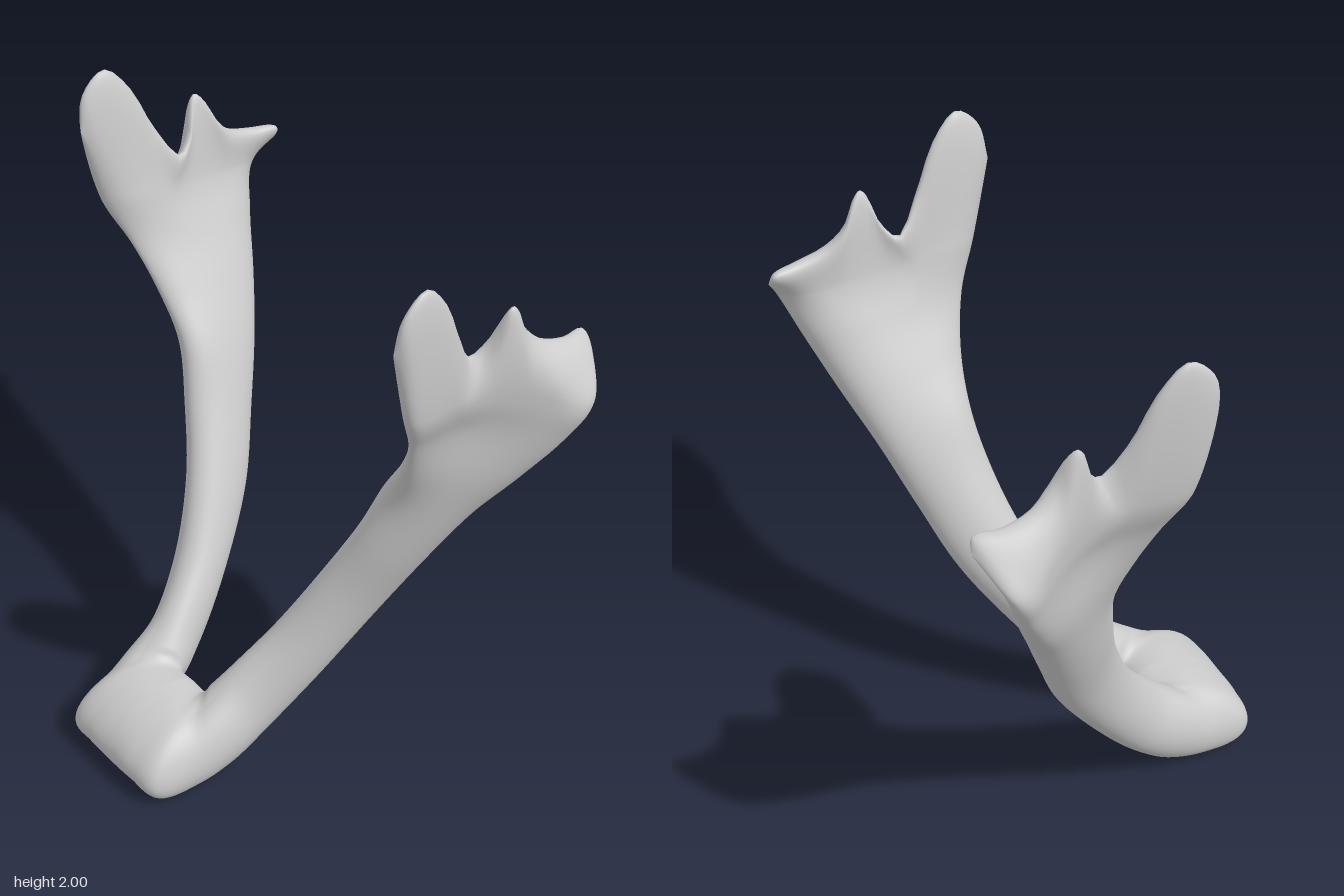
import * as THREE from 'three';

const V = (p) => new THREE.Vector3(...p);

// Skin a list of closed rings with smooth normals
function loft(rings, flip) {
  const n = rings[0].length, pos = [], idx = [];
  rings.forEach((ring) => ring.forEach((p) => pos.push(p.x, p.y, p.z)));
  for (let i = 0; i < rings.length - 1; i++) {
    for (let j = 0; j < n; j++) {
      const a = i * n + j, b = i * n + (j + 1) % n, c = a + n, d = b + n;
      if (flip) idx.push(a, c, b, b, c, d);
      else idx.push(a, b, c, b, d, c);
    }
  }
  const g = new THREE.BufferGeometry();
  g.setAttribute('position', new THREE.Float32BufferAttribute(pos, 3));
  g.setIndex(idx);
  g.computeVertexNormals();
  return g;
}

// Chin stations, fanning from the midline round the corner: top, bottom, outer, inner
const CHIN = [
  [[0, 0.25, 0.43], [0, 0.005, 0.47], [0, 0.1, 0.615], [0, 0.16, 0.27]],
  [[0.08, 0.25, 0.43], [0.09, 0.025, 0.47], [0.11, 0.1, 0.615], [0.055, 0.16, 0.27]],
  [[0.14, 0.245, 0.43], [0.175, 0.01, 0.47], [0.215, 0.095, 0.592], [0.075, 0.17, 0.272]],
  [[0.16, 0.25, 0.385], [0.19, 0.015, 0.38], [0.25, 0.11, 0.46], [0.083, 0.19, 0.265]],
  [[0.17, 0.275, 0.345], [0.195, 0.045, 0.275], [0.268, 0.15, 0.35], [0.09, 0.215, 0.245]],
];

// Branch stations: front edge, back edge, half thickness at front, middle and back, bow
const BRANCH = [
  [[0.19, 0.35, 0.26], [0.21, 0.15, 0.15], 0.09, 0.09, 0.09, 0],
  [[0.25, 0.50, 0.135], [0.27, 0.33, 0.0], 0.085, 0.088, 0.09, 0],
  [[0.34, 0.72, 0.03], [0.36, 0.58, -0.17], 0.08, 0.085, 0.09, 0],
  [[0.43, 0.92, -0.03], [0.46, 0.80, -0.27], 0.08, 0.088, 0.095, 0],
  [[0.50, 1.10, -0.06], [0.56, 1.00, -0.355], 0.08, 0.085, 0.115, 0],
  [[0.595, 1.25, -0.045], [0.675, 1.16, -0.43], 0.07, 0.07, 0.135, -0.03],
  [[0.68, 1.41, 0.0], [0.785, 1.32, -0.50], 0.06, 0.04, 0.14, -0.065],
  [[0.73, 1.56, 0.065], [0.835, 1.45, -0.555], 0.11, 0.03, 0.145, -0.065],
];

// Upper rim: tall front blade, notch, small spike and rear corner
const RIM = new THREE.CatmullRomCurve3([
  [0.75, 1.82, 0.13], [0.765, 1.94, 0.105], [0.765, 2.0, 0.03], [0.755, 1.92, -0.05],
  [0.735, 1.77, -0.12], [0.70, 1.65, -0.20], [0.72, 1.70, -0.25], [0.75, 1.79, -0.28],
  [0.755, 1.81, -0.30], [0.75, 1.785, -0.325], [0.74, 1.71, -0.36], [0.755, 1.645, -0.42],
  [0.76, 1.61, -0.52], [0.74, 1.60, -0.60], [0.75, 1.56, -0.615],
].map(V));

const OUTWARD = V([0.92, -0.33, 0.2]).normalize();

// Point on the mid-surface and offset to the skin, at one angle of a station
function chinPoint([top, bottom, outer, inner], t, s) {
  const centre = V(top).lerp(V(bottom), 0.5);
  return {
    mid: V(top).lerp(V(bottom), t),
    offset: V(s >= 0 ? outer : inner).sub(centre).multiplyScalar(Math.abs(s)),
  };
}

function branchPoint([front, back, wFront, wMid, wBack, bow], t, s) {
  const hump = 4 * t * (1 - t);
  const w = 2 * (t - 0.5) * (t - 1) * wFront + hump * wMid + 2 * t * (t - 0.5) * wBack;
  return {
    mid: V(front).lerp(V(back), t).addScaledVector(OUTWARD, bow * hump),
    offset: OUTWARD.clone().multiplyScalar(w * s),
  };
}

// One half of the jaw, from the midline of the chin to the upper rim
function halfGeometry(side) {
  const COLS = 52, SUB = 8, TOP = 24, last = CHIN.length + BRANCH.length - 1;
  const params = [];
  for (let i = 0; i < last * SUB; i++) params.push(i / SUB);
  for (let i = 0; i <= TOP; i++) params.push(last + Math.sin((i / TOP) * Math.PI / 2));

  const rings = params.map(() => []);
  for (let j = 0; j < 2 * COLS; j++) {
    const angle = (j / COLS) * Math.PI;
    const t = (1 - Math.cos(angle)) / 2, s = Math.sin(angle);
    const keys = [
      ...CHIN.map((c) => chinPoint(c, t, s)),
      ...BRANCH.map((b) => branchPoint(b, t, s)),
    ];
    const mids = new THREE.CatmullRomCurve3([...keys.map((k) => k.mid), RIM.getPoint(t)]);
    const offsets = new THREE.CatmullRomCurve3(keys.map((k) => k.offset), false, 'catmullrom');
    params.forEach((u, i) => {
      const v = Math.max(0, u - last);
      const round = Math.sqrt(Math.max(0, 1 - v ** 3));
      const p = mids.getPoint(u / (last + 1))
        .addScaledVector(offsets.getPoint(Math.min(u / last, 1)), round);
      p.x *= side;
      rings[i].push(p);
    });
  }
  return loft(rings, side < 0);
}

export function createModel() {
  const model = new THREE.Group();
  model.name = 'lowerJaw';
  const bone = new THREE.MeshStandardMaterial({ color: 0xcccccc, side: THREE.DoubleSide });
  for (const [name, side] of [['leftHalf', 1], ['rightHalf', -1]]) {
    const mesh = new THREE.Mesh(halfGeometry(side), bone);
    mesh.name = name;
    model.add(mesh);
  }
  return model;
}
